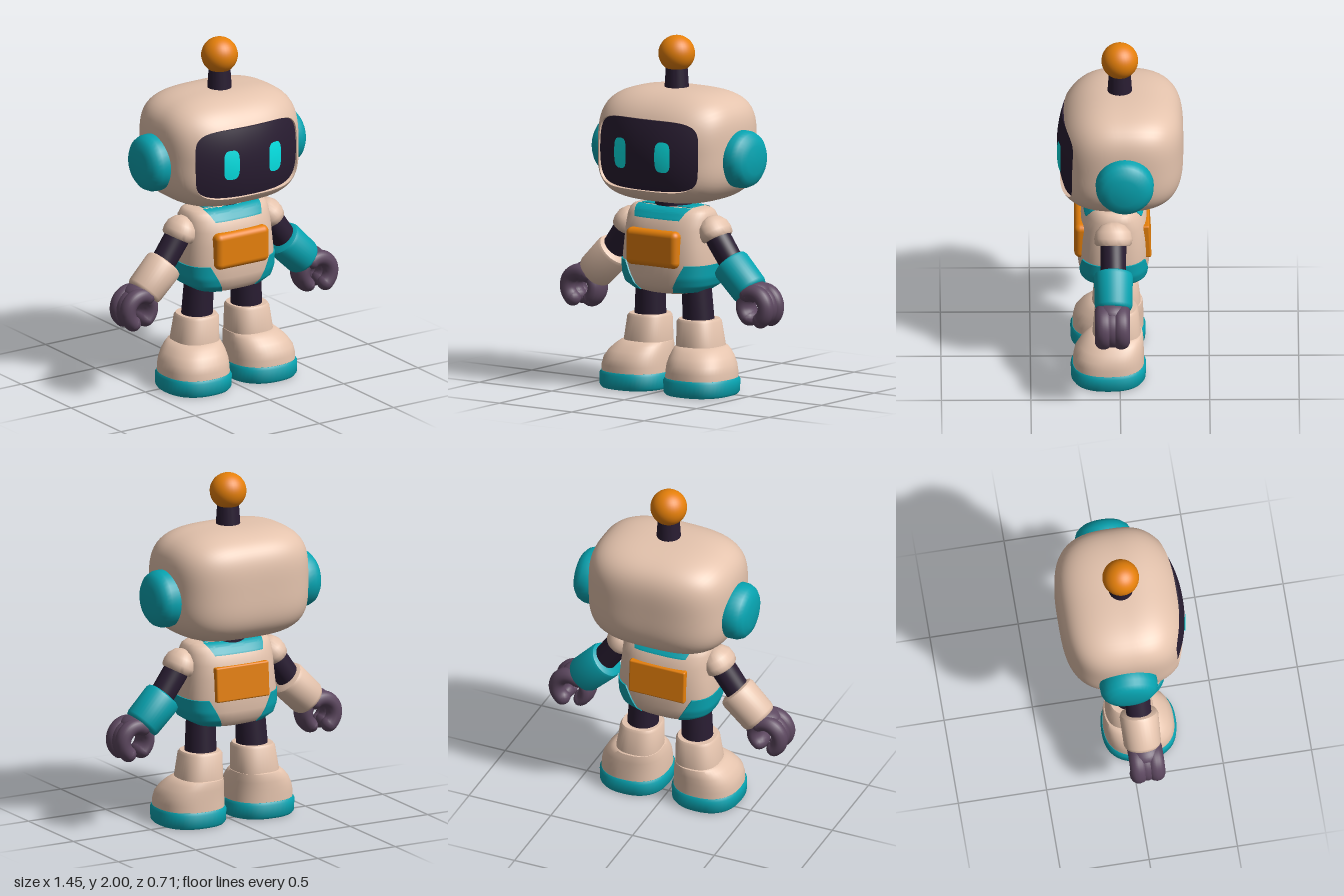
import * as THREE from 'three';
import { toCreasedNormals } from 'three/addons/utils/BufferGeometryUtils.js';
import { RoundedBoxGeometry } from 'three/addons/geometries/RoundedBoxGeometry.js';

const mat = (name, color) => Object.assign(new THREE.MeshStandardMaterial({ color }), { name });
const { abs, cos, sin, sign, acos, asin, min, max, PI } = Math;

// Surface from a rule: fn(u, v) gives a point, u runs around and v along
function grid(nu, nv, fn, crease = 0.7) {
  const pos = [], index = [];
  for (let j = 0; j <= nv; j++) for (let i = 0; i <= nu; i++) pos.push(...fn(i / nu, j / nv));
  for (let j = 0; j < nv; j++) for (let i = 0; i < nu; i++) {
    const a = j * (nu + 1) + i, c = a + nu + 1;
    index.push(a, c, a + 1, a + 1, c, c + 1);
  }
  const g = new THREE.BufferGeometry();
  g.setAttribute('position', new THREE.Float32BufferAttribute(pos, 3));
  g.setIndex(index);
  return toCreasedNormals(g, crease);
}

// Point on a superelliptic ring [y, cx, cz, hx, hz]
const power = (c, n) => sign(c) * abs(c) ** (2 / n);
function ringPoint([y, cx, cz, hx, hz], t, n, grow = 0) {
  return [cx + (hx + grow) * power(cos(t), n), y, cz + (hz + grow) * power(sin(t), n)];
}

// Closed body through a stack of rings
function loft(rings, n) {
  const first = rings[0], last = rings[rings.length - 1];
  const all = [[...first.slice(0, 3), 0, 0], ...rings, [...last.slice(0, 3), 0, 0]];
  return grid(48, all.length - 1, (u, v) => ringPoint(all[Math.round(v * (all.length - 1))], u * 2 * PI, n));
}

// Turned part standing on 'from' and pointing to 'to'
function turned(profile, from, to) {
  const g = toCreasedNormals(new THREE.LatheGeometry(profile.map(p => new THREE.Vector2(...p)), 36), 0.7);
  const a = new THREE.Vector3(...from), dir = new THREE.Vector3(...to).sub(a).normalize();
  g.applyQuaternion(new THREE.Quaternion().setFromUnitVectors(new THREE.Vector3(0, 1, 0), dir));
  return g.translate(a.x, a.y, a.z);
}
const rod = (r0, r1, len) => [[0, 0], [r0, 0], [r1, len], [0, len]];

// Head shape: depth of the shell, its face with sloping brow and full chin, and the bulging visor
const CY = 1.365;
const headValue = (x, y) => abs(x / 0.43) ** 3.2 + abs((y - 1.39) / 0.32) ** 3.8;
const headZ = (x, y) => 0.355 * max(0, 1 - headValue(x, y)) ** 0.357;
const lean = y => 1 - (y > 1.4 ? 0.16 : -0.06) * abs((y - 1.4) / 0.25) ** 1.7;
const faceZ = (x, y) => headZ(x, y) * lean(y) * (1 - 0.05 * min(1, (x / 0.34) ** 2));
const visorValue = (x, y) => abs(x / 0.337) ** 5 + abs((y - CY) / 0.2) ** 5;
const visorZ = (x, y) => 0.352 - 0.088 * abs(x / 0.337) ** 2.2 - 0.03 * ((y - CY) / 0.2) ** 2;
function reach(value, t) {
  let lo = 0, hi = 1;
  for (let k = 0; k < 40; k++) {
    const m = (lo + hi) / 2;
    if (value(m * cos(t), CY + m * sin(t)) < 1) lo = m; else hi = m;
  }
  return lo;
}

// Torso rings and their interpolation by height
const BODY = 2.8;
const TORSO = [
  [0.56, 0.14, 0.12], [0.575, 0.21, 0.16], [0.61, 0.265, 0.19], [0.66, 0.283, 0.2], [0.75, 0.287, 0.2],
  [0.85, 0.276, 0.195], [0.93, 0.27, 0.183], [0.99, 0.266, 0.16], [1.025, 0.256, 0.135],
  [1.04, 0.24, 0.115], [1.048, 0.215, 0.095],
].map(([y, hx, hz]) => [y, 0, 0.035, hx, hz]);
function torsoRing(y) {
  let k = 0;
  while (k < TORSO.length - 2 && TORSO[k + 1][0] < y) k++;
  const a = TORSO[k], b = TORSO[k + 1], f = min(1, max(0, (y - a[0]) / (b[0] - a[0])));
  return a.map((q, i) => q + (b[i] - q) * f);
}

// Thin plate on the torso between two angles, its border folded inwards
function torsoPlate(y0, y1, range, nu = 24, nv = 16) {
  const inner = (q, n) => min(1, max(0, (q * n - 1) / (n - 2)));
  return grid(nu, nv, (u, v) => {
    const ring = torsoRing(y0 + (y1 - y0) * inner(v, nv));
    const [a, b] = range(ring);
    const border = u === 0 || u === 1 || v === 0 || v === 1;
    return ringPoint(ring, a + (b - a) * inner(u, nu), BODY, border ? -0.01 : 0.007);
  });
}
const angleAt = (x, ring) => acos(min(1, x / ring[3]) ** (BODY / 2));

export function createModel() {
  const shell = mat('shell', 0xe4c3ad), teal = mat('teal', 0x07a4b1), orange = mat('orange', 0xe6800a);
  const dark = mat('dark', 0x291d32), glove = mat('glove', 0x5c475f), glow = mat('eyeGlow', 0x06f2f4);
  const model = new THREE.Group();
  model.name = 'robot';
  const add = (name, geometry, material, parent = model) => {
    const m = new THREE.Mesh(geometry, material);
    m.name = name;
    parent.add(m);
    return m;
  };

  // Head: lip of the visor opening, front to rim, rim to back
  const N = 30;
  add('head', grid(96, 2 * N + 1, (u, v) => {
    const t = u * 2 * PI, row = Math.round(v * (2 * N + 1));
    const open = reach(visorValue, t), full = reach(headValue, t);
    const at = r => [r * cos(t), CY + r * sin(t)];
    if (row === 0) { const p = at(open * 0.985); return [...p, visorZ(...p) - 0.012]; }
    const s = (row - 1) / N;
    const phi = s <= 1
      ? PI / 2 - (PI / 2 - asin(open * 1.012 / full)) * (1 - s) ** 1.6
      : PI / 2 + PI / 2 * (s - 1) ** 1.6;
    const p = at(full * sin(phi));
    if (s === 1) return [...p, 0];
    return [...p, s < 1 ? faceZ(...p) : -headZ(...p)];
  }), shell);

  // Visor with a folded border, and eyes that follow its curve
  add('visor', grid(72, 15, (u, v) => {
    const t = u * 2 * PI, r = min(1, v * 15 / 14) * reach(visorValue, t);
    const x = r * cos(t), y = CY + r * sin(t);
    return [x, y, visorZ(x, y) - (v === 1 ? 0.03 : 0)];
  }), dark);
  for (const s of [-1, 1]) {
    add(s > 0 ? 'leftEye' : 'rightEye', grid(40, 6, (u, v) => {
      const t = u * 2 * PI;
      const x = s * 0.145 + v * 0.046 * power(cos(t), 3), y = 1.365 + v * 0.086 * power(sin(t), 4);
      return [x, y, visorZ(x, y) + 0.006];
    }), glow);
    add(s > 0 ? 'leftEar' : 'rightEar', turned(
      [[0, 0], [0.15, 0], [0.163, 0.06], [0.161, 0.105], [0.148, 0.135], [0.122, 0.157], [0.08, 0.169], [0, 0.174]],
      [s * 0.36, 1.337, -0.025], [s, 1.337, -0.025]), teal);
  }

  // Antenna and neck
  add('antennaStem', turned(rod(0.071, 0.059, 0.18), [0, 1.67, 0], [0, 2, 0]), dark);
  add('antennaBall', new THREE.SphereGeometry(0.103, 32, 24).translate(0, 1.897, 0), orange);
  add('neck', turned(rod(0.11, 0.11, 0.13), [0, 1, 0.02], [0, 2, 0.02]), dark);

  // Torso with collar, hip plates and panels
  add('torso', loft(TORSO, BODY), shell);
  for (const [name, turn] of [['frontCollar', 0], ['backCollar', PI]]) {
    add(name, torsoPlate(0.985, 1.048, ring => {
      const a = angleAt(0.15 + (ring[0] - 0.985) * 0.45, ring);
      return [turn + a, turn + PI - a];
    }), teal);
  }
  add('collarTop', new RoundedBoxGeometry(0.34, 0.012, 0.13, 2, 0.005).translate(0, 1.048, 0.035), teal);
  for (const [name, turn] of [['leftHip', 0], ['rightHip', PI]]) {
    add(name, torsoPlate(0.575, 0.735, ring => {
      const a = angleAt(0.11 + (ring[0] - 0.575) * 0.55, ring);
      return [turn - a, turn + a];
    }), teal);
  }
  add('chestPanel', new RoundedBoxGeometry(0.355, 0.21, 0.085, 5, 0.035).translate(-0.003, 0.823, 0.213), orange);
  const back = add('backPanel', new RoundedBoxGeometry(0.34, 0.2, 0.05, 2, 0.01), orange);
  back.position.set(0, 0.825, -0.145);
  back.rotation.x = 0.06;

  for (const s of [-1, 1]) {
    const side = s > 0 ? 'left' : 'right', Z = 0.038;

    // Arm with a domed shoulder cap
    const shoulder = add(side + 'Shoulder', turned(
      [[0, 0], [0.076, 0], [0.085, 0.01], [0.088, 0.04], [0.08, 0.08], [0.055, 0.115], [0.025, 0.131], [0, 0.134]],
      [s * 0.312, 0.883, 0], [s * 0.25, 0.998, 0]), shell);
    shoulder.position.z = Z;
    shoulder.scale.z = 1.22;
    add(side + 'UpperArm', turned(rod(0.073, 0.07, 0.23), [s * 0.3, 0.905, Z], [s * 0.44, 0.71, Z]), dark);
    add(side + 'Cuff', turned(
      [[0, 0], [0.088, 0], [0.103, 0.008], [0.109, 0.025], [0.105, 0.195], [0.098, 0.212], [0.085, 0.22], [0, 0.22]],
      [s * 0.39, 0.755, Z], [s * 0.55, 0.597, Z]), s > 0 ? teal : shell);

    // Gripping hand: palm, two joined outer fingers and a broad thumb
    const hand = new THREE.Group();
    hand.name = side + 'Hand';
    hand.position.set(s * 0.597, 0.527, 0.045);
    hand.rotation.y = s > 0 ? 0 : PI;
    model.add(hand);
    const palm = add('palm', new THREE.SphereGeometry(1, 24, 16), glove, hand);
    palm.scale.set(0.09, 0.06, 0.092);
    palm.position.set(-0.025, 0.085, 0);
    const finger = (name, z, depth, start, end, radius) => {
      const f = new THREE.Group();
      f.name = name;
      f.position.z = z;
      f.scale.z = depth;
      hand.add(f);
      add('curl', new THREE.TorusGeometry(radius, 0.045, 14, 28, end - start).rotateZ(start), glove, f);
      for (const a of [start, end]) {
        const cap = add('fingerEnd', new THREE.SphereGeometry(0.045, 16, 12), glove, f);
        cap.position.set(radius * cos(a), radius * sin(a), 0);
      }
    };
    finger('frontFinger', 0.05, 1.08, -0.93, 2.1, 0.085);
    finger('fingerWeb', 0, 1.2, -0.85, 2.1, 0.075);
    finger('backFinger', -0.05, 1.08, -0.93, 2.1, 0.085);
    finger('thumb', 0, 1.7, 1.6, PI + 0.93, 0.085);

    // Leg and boot
    add(side + 'Thigh', turned(rod(0.09, 0.083, 0.24), [s * 0.167, 0.38, 0.02], [s * 0.158, 0.62, 0.03]), dark);
    add(side + 'BootShaft', loft([
      [0.2, s * 0.183, 0.018, 0.133, 0.14], [0.26, s * 0.181, 0.018, 0.128, 0.136],
      [0.4, s * 0.17, 0.02, 0.117, 0.122], [0.415, s * 0.17, 0.02, 0.107, 0.112],
    ], 2.5), shell);
    add(side + 'Foot', loft([
      [0.08, s * 0.22, 0.065, 0.192, 0.2], [0.13, s * 0.22, 0.064, 0.19, 0.198],
      [0.17, s * 0.217, 0.06, 0.184, 0.193], [0.21, s * 0.208, 0.047, 0.17, 0.179],
      [0.24, s * 0.197, 0.033, 0.153, 0.163], [0.26, s * 0.188, 0.022, 0.138, 0.147],
      [0.268, s * 0.183, 0.02, 0.118, 0.128],
    ], 2.4), shell);
    add(side + 'Sole', loft([
      [0, s * 0.22, 0.065, 0.188, 0.198], [0.015, s * 0.22, 0.065, 0.199, 0.209],
      [0.08, s * 0.22, 0.065, 0.201, 0.211], [0.095, s * 0.22, 0.065, 0.192, 0.202],
    ], 2.4), teal);
  }
  return model;
}
